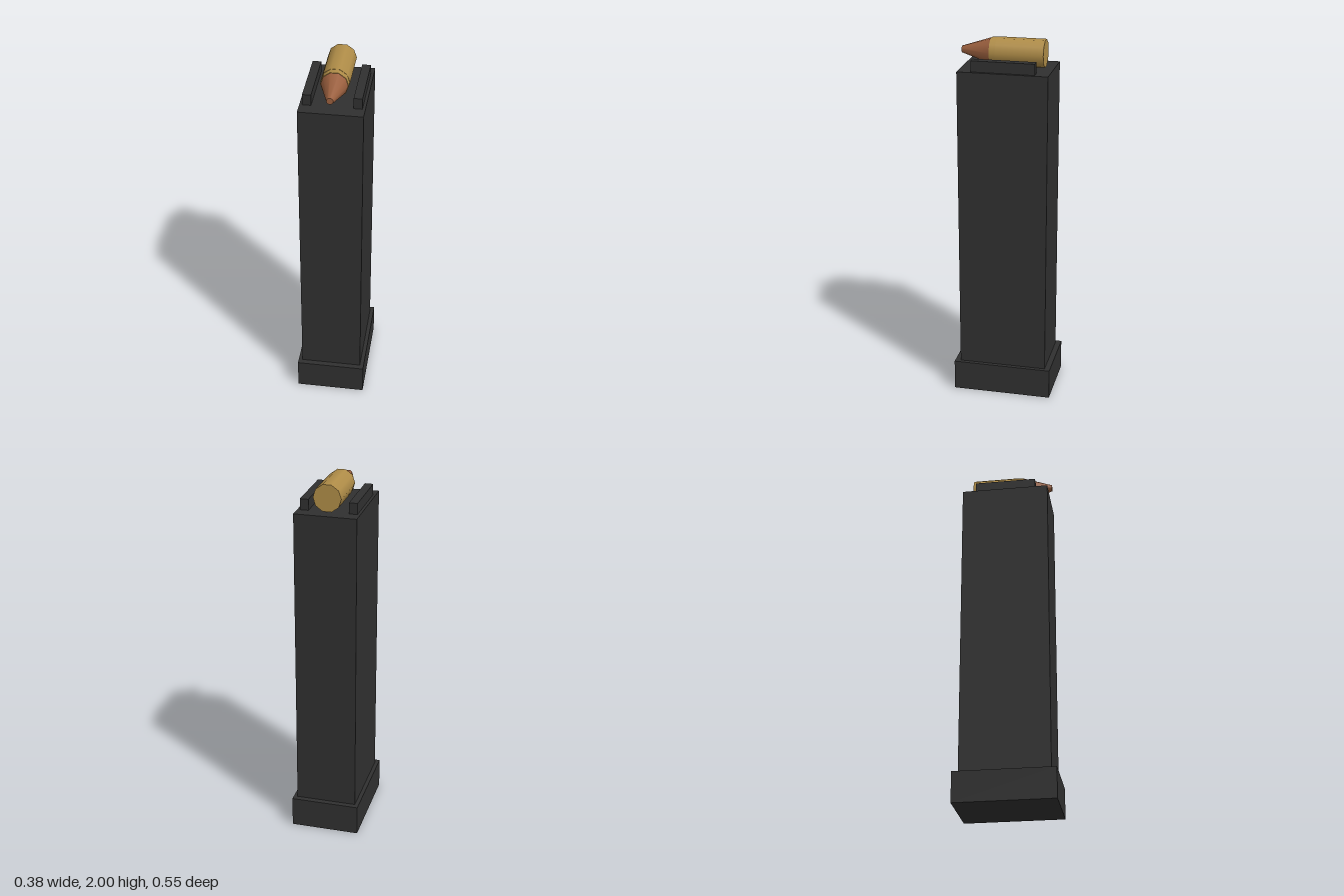
import * as THREE from 'three';

export function createModel() {
  const model = new THREE.Group();
  const material = (name, color) => {
    const m = new THREE.MeshStandardMaterial({ color });
    m.name = name;
    return m;
  };
  const black = material('blackMetal', 0x303030);
  const brass = material('brass', 0xb08d48);
  const copper = material('copper', 0x9a5f3e);

  const add = (name, geometry, mat, parent = model) => {
    const mesh = new THREE.Mesh(geometry, mat);
    mesh.name = name;
    parent.add(mesh);
    return mesh;
  };
  const box = (name, w, h, d, x, bottom) =>
    add(name, new THREE.BoxGeometry(w, h, d), black).position.set(x, bottom + h / 2, 0);

  // Magazine body, floor plate and the two feed lips
  box('floorPlate', 0.377, 0.168, 0.545, 0, 0);
  box('body', 0.334, 1.68, 0.484, 0, 0.167);
  for (const side of [-1, 1]) {
    box(side > 0 ? 'leftFeedLip' : 'rightFeedLip', 0.045, 0.06, 0.34, side * 0.1295, 1.846);
  }

  // Cartridge lying along z, nose to the front
  const cartridge = new THREE.Group();
  cartridge.name = 'cartridge';
  cartridge.position.y = 1.9287;
  model.add(cartridge);
  const round = (name, rFront, rBack, z0, z1, mat) => {
    const g = new THREE.CylinderGeometry(rFront, rBack, z1 - z0, 10, 1, false, Math.PI / 2);
    g.rotateX(Math.PI / 2);
    g.translate(0, 0, (z0 + z1) / 2);
    add(name, g, mat, cartridge);
  };
  round('case', 0.075, 0.075, -0.198, 0.06, brass);
  round('caseNeck', 0.0725, 0.0735, 0.06, 0.093, brass);
  round('bullet', 0.018, 0.07, 0.093, 0.252, copper);

  return model;
}
